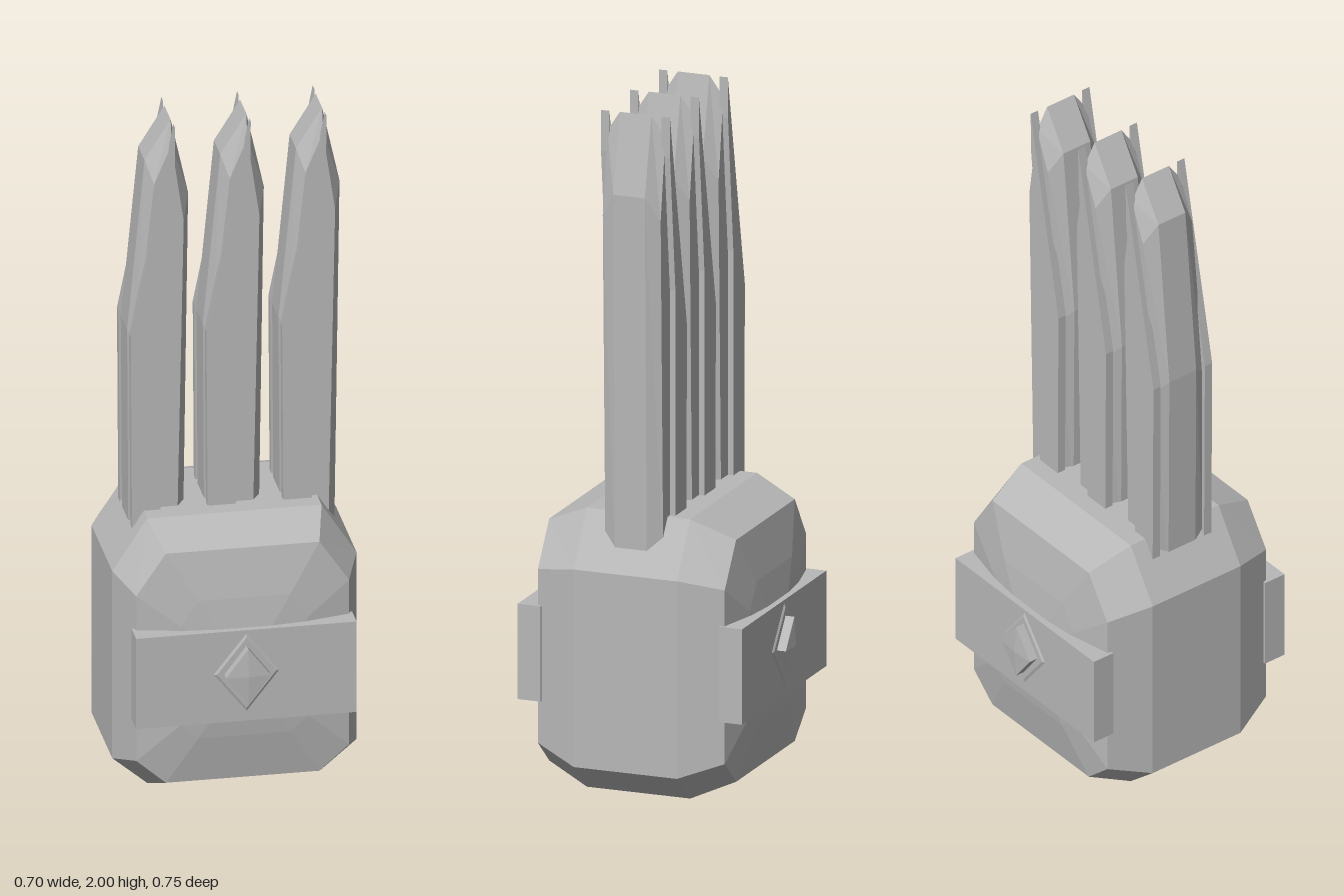
import * as THREE from 'three';

const grey = new THREE.MeshStandardMaterial({ color: 0xb8b8b8, flatShading: true });
grey.name = 'plain grey';

// Joins matching counter-clockwise outlines, ordered back to front, and caps both ends
function loft(rings) {
  const pos = [];
  const tri = (...pts) => pts.forEach((p) => pos.push(...p));
  const full = rings.map(({ pts, z }) => pts.map(([x, y]) => [x, y, z]));
  const n = full[0].length;
  for (let i = 0; i < full.length - 1; i++) {
    for (let j = 0; j < n; j++) {
      const k = (j + 1) % n;
      const a = full[i][j], b = full[i][k], c = full[i + 1][k], d = full[i + 1][j];
      tri(a, b, c);
      tri(a, c, d);
    }
  }
  const back = full[0], front = full[full.length - 1];
  for (let j = 1; j < n - 1; j++) {
    tri(front[0], front[j], front[j + 1]);
    tri(back[0], back[j + 1], back[j]);
  }
  const g = new THREE.BufferGeometry();
  g.setAttribute('position', new THREE.Float32BufferAttribute(pos, 3));
  g.computeVertexNormals();
  return g;
}

// Outlines listed from the middle outwards become a shape symmetric in z
function mirroredLoft(half) {
  const back = half.map(({ pts, z }) => ({ pts, z: -z })).reverse();
  return loft([...back, ...half]);
}

function add(parent, name, geometry, x = 0, y = 0, z = 0) {
  const mesh = new THREE.Mesh(geometry, grey);
  mesh.name = name;
  mesh.position.set(x, y, z);
  parent.add(mesh);
  return mesh;
}

// Octagon with cut corners
const octagon = (wide, narrow, bottom, low, high, top) => [
  [-narrow, bottom], [narrow, bottom], [wide, low], [wide, high],
  [narrow, top], [-narrow, top], [-wide, high], [-wide, low],
];
const shrink = (pts, s) => pts.map(([x, y]) => [x * s, 0.41 + (y - 0.41) * s]);

// Diamond-shaped prism facing +z
function diamond(rFront, rBack, depth, stretch) {
  return new THREE.CylinderGeometry(rFront, rBack, depth, 4)
    .rotateX(Math.PI / 2).scale(1, stretch, 1);
}

export function createModel() {
  const model = new THREE.Group();
  model.name = 'clawedGauntlet';

  // Faceted fist with domed front and back
  const outer = octagon(0.35, 0.25, 0, 0.085, 0.665, 0.82);
  const face = octagon(0.305, 0.22, 0.055, 0.13, 0.64, 0.765);
  add(model, 'fist', mirroredLoft([
    { pts: outer, z: 0.157 },
    { pts: face, z: 0.284 },
    { pts: shrink(face, 0.6), z: 0.311 },
    { pts: shrink(face, 0.3), z: 0.325 },
  ]));

  // Band and gem on the front, repeated on the back
  for (const side of ['front', 'back']) {
    const group = new THREE.Group();
    group.name = side + 'Band';
    if (side === 'back') group.rotation.y = Math.PI;
    add(group, 'band', new THREE.BoxGeometry(0.632, 0.28, 0.07), 0, 0.395, 0.306);
    add(group, 'gemBase', diamond(0.085, 0.098, 0.006, 1.28), 0, 0.405, 0.342);
    add(group, 'gem', diamond(0.064, 0.064, 0.03, 1.32), 0, 0.405, 0.357);
    add(group, 'gemFacet', diamond(0, 0.064, 0.005, 1.32), 0, 0.405, 0.3745);
    model.add(group);
  }

  // Blade with bevelled sides
  const bladeGeometry = mirroredLoft([
    {
      z: 0.048,
      pts: [[-0.066, 0.69], [0.09, 0.69], [0.105, 1.77], [0.055, 2], [-0.02, 1.88], [-0.07, 1.36]],
    },
    {
      z: 0.088,
      pts: [[-0.052, 0.69], [0.065, 0.69], [0.085, 1.7], [0.05, 1.94], [0, 1.82], [-0.052, 1.33]],
    },
  ]);

  // Thin cheek plate along each flat of a blade
  const cheekShape = new THREE.Shape([
    [-0.066, 0.69], [0.015, 0.69], [0.016, 1.48], [0.056, 1.88], [0.057, 2], [-0.07, 1.36],
  ].map(([x, y]) => new THREE.Vector2(x, y)));
  const cheekGeometry = new THREE.ExtrudeGeometry(cheekShape, { depth: 0.026, bevelEnabled: false });

  ['right', 'middle', 'left'].forEach((name, i) => {
    const claw = new THREE.Group();
    claw.name = name + 'Claw';
    claw.position.x = (i - 1) * 0.217;
    add(claw, 'blade', bladeGeometry);
    add(claw, 'frontCheek', cheekGeometry, 0, 0, 0.079);
    add(claw, 'backCheek', cheekGeometry, 0, 0, -0.105);
    model.add(claw);
  });

  return model;
}
